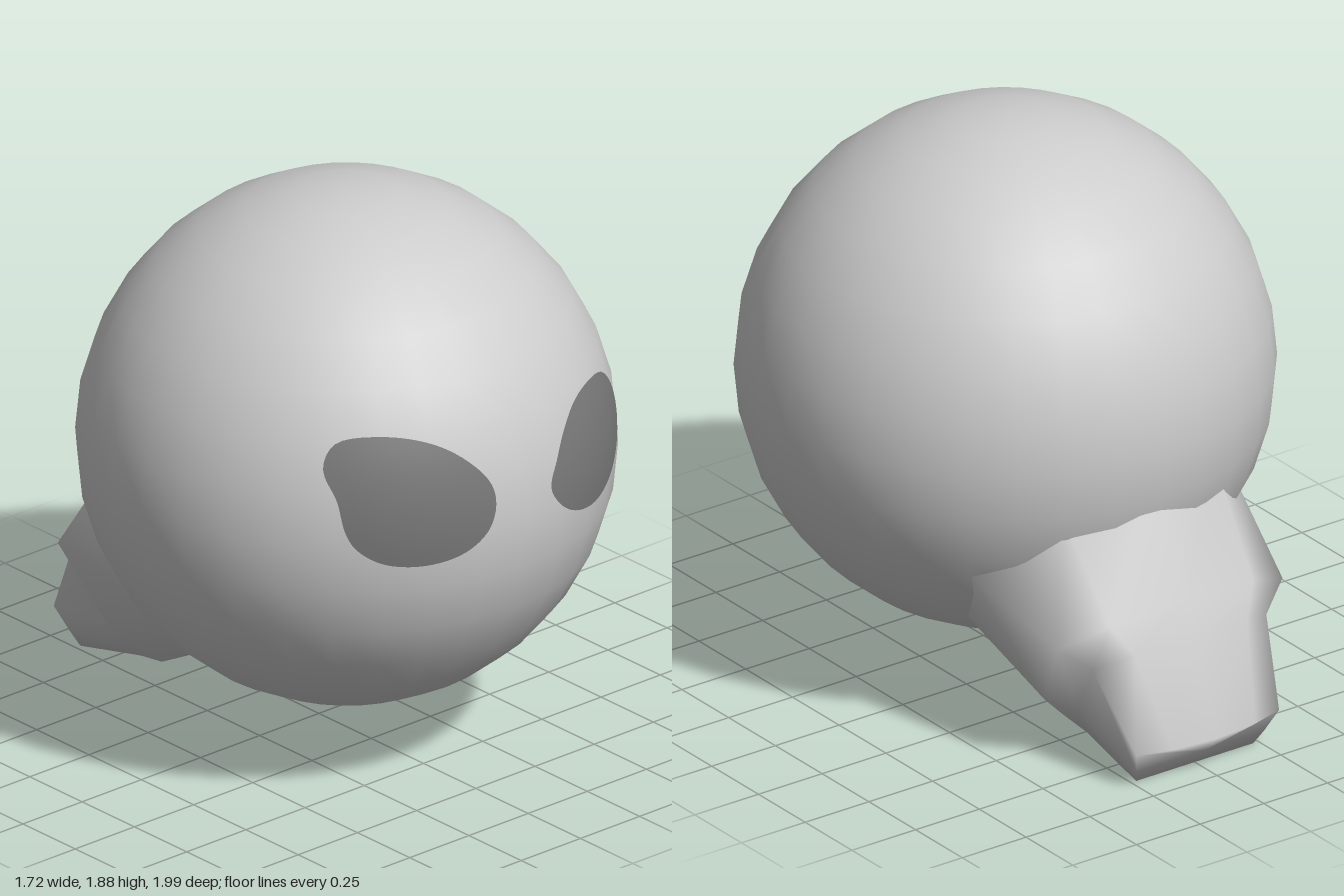
import * as THREE from 'three';

const CENTER = new THREE.Vector3(0, 1.022, 0.133);
const RADIUS = 0.861;

// Surface through a list of closed rings, finished by a fan to one end point
function loft(rings, end) {
  const n = rings[0].length;
  const index = [];
  for (let r = 0; r < rings.length - 1; r++) {
    for (let i = 0; i < n; i++) {
      const j = (i + 1) % n;
      const a = r * n + i, b = r * n + j, c = b + n, d = a + n;
      index.push(a, b, c, a, c, d);
    }
  }
  const last = (rings.length - 1) * n;
  for (let i = 0; i < n; i++) index.push(last + i, last + (i + 1) % n, rings.length * n);
  const geometry = new THREE.BufferGeometry();
  geometry.setAttribute('position', new THREE.Float32BufferAttribute([...rings.flat(2), ...end], 3));
  geometry.setIndex(index);
  geometry.computeVertexNormals();
  return geometry;
}

// Eye patch: a front outline (counterclockwise) laid onto the ball
function eyeGeometry(outline) {
  const curve = new THREE.CatmullRomCurve3(outline.map(([x, y]) => new THREE.Vector3(x, y, 0)), true);
  const points = curve.getSpacedPoints(64).slice(0, 64);
  const mid = points.reduce((s, p) => s.add(p), new THREE.Vector3()).divideScalar(points.length);
  const onBall = (x, y) => {
    const r = RADIUS + 0.003;
    const dy = y - CENTER.y;
    return [x, y, CENTER.z + Math.sqrt(r * r - x * x - dy * dy)];
  };
  const rings = [1, 0.85, 0.7, 0.55, 0.4, 0.2].map((s) =>
    points.map((p) => onBall(mid.x + (p.x - mid.x) * s, mid.y + (p.y - mid.y) * s)));
  return loft(rings, onBall(mid.x, mid.y));
}

// Half sections of the neck, from top centre down the side to bottom centre
const neckSections = [
  [[0, 0.92, -0.65], [0.3, 0.85, -0.58], [0.53, 0.62, -0.4], [0.44, 0.4, -0.26], [0.25, 0.27, -0.18], [0, 0.25, -0.12]],
  [[0, 0.55, -0.83], [0.28, 0.53, -0.81], [0.44, 0.47, -0.75], [0.37, 0.21, -0.58], [0.23, 0.08, -0.49], [0, 0.08, -0.48]],
  [[0, 0.44, -0.875], [0.22, 0.43, -0.86], [0.34, 0.39, -0.8], [0.3, 0.18, -0.66], [0.22, 0.06, -0.6], [0, 0.055, -0.6]],
  [[0, 0.13, -1], [0.16, 0.13, -0.985], [0.28, 0.13, -0.95], [0.25, 0.05, -0.91], [0.23, 0, -0.88], [0, 0, -0.88]],
];

export function createModel() {
  const model = new THREE.Group();
  const material = (name, color) => {
    const m = new THREE.MeshStandardMaterial({ color });
    m.name = name;
    return m;
  };
  const pale = material('pale grey', 0xcccccc);
  const dark = material('dark grey', 0x777777);
  const add = (name, geometry, mat) => {
    const mesh = new THREE.Mesh(geometry, mat);
    mesh.name = name;
    model.add(mesh);
    return mesh;
  };

  // Round head
  add('head', new THREE.SphereGeometry(RADIUS, 32, 16), pale).position.copy(CENTER);

  // Neck stub sloping down at the back, mirrored across x
  const rings = neckSections.map((half) => [
    ...half,
    ...half.slice(1, -1).reverse().map(([x, y, z]) => [-x, y, z]),
  ]);
  add('neck', loft(rings, [0, 0.07, -0.945]), pale);

  // Uneven eyes
  add('leftEye', eyeGeometry([
    [0.6, 1.17], [0.57, 1.25], [0.5, 1.31], [0.38, 1.33], [0.28, 1.31], [0.2, 1.25], [0.15, 1.18],
    [0.11, 1.1], [0.15, 1.03], [0.23, 0.975], [0.35, 0.95], [0.46, 0.975], [0.54, 1.03], [0.585, 1.1],
  ]), dark);
  add('rightEye', eyeGeometry([
    [-0.12, 1.11], [-0.13, 1.18], [-0.2, 1.27], [-0.3, 1.34], [-0.43, 1.375], [-0.55, 1.36], [-0.6, 1.28],
    [-0.585, 1.18], [-0.575, 1.08], [-0.55, 1.02], [-0.48, 0.965], [-0.36, 0.945], [-0.23, 0.97], [-0.15, 1.03],
  ]), dark);
  return model;
}
